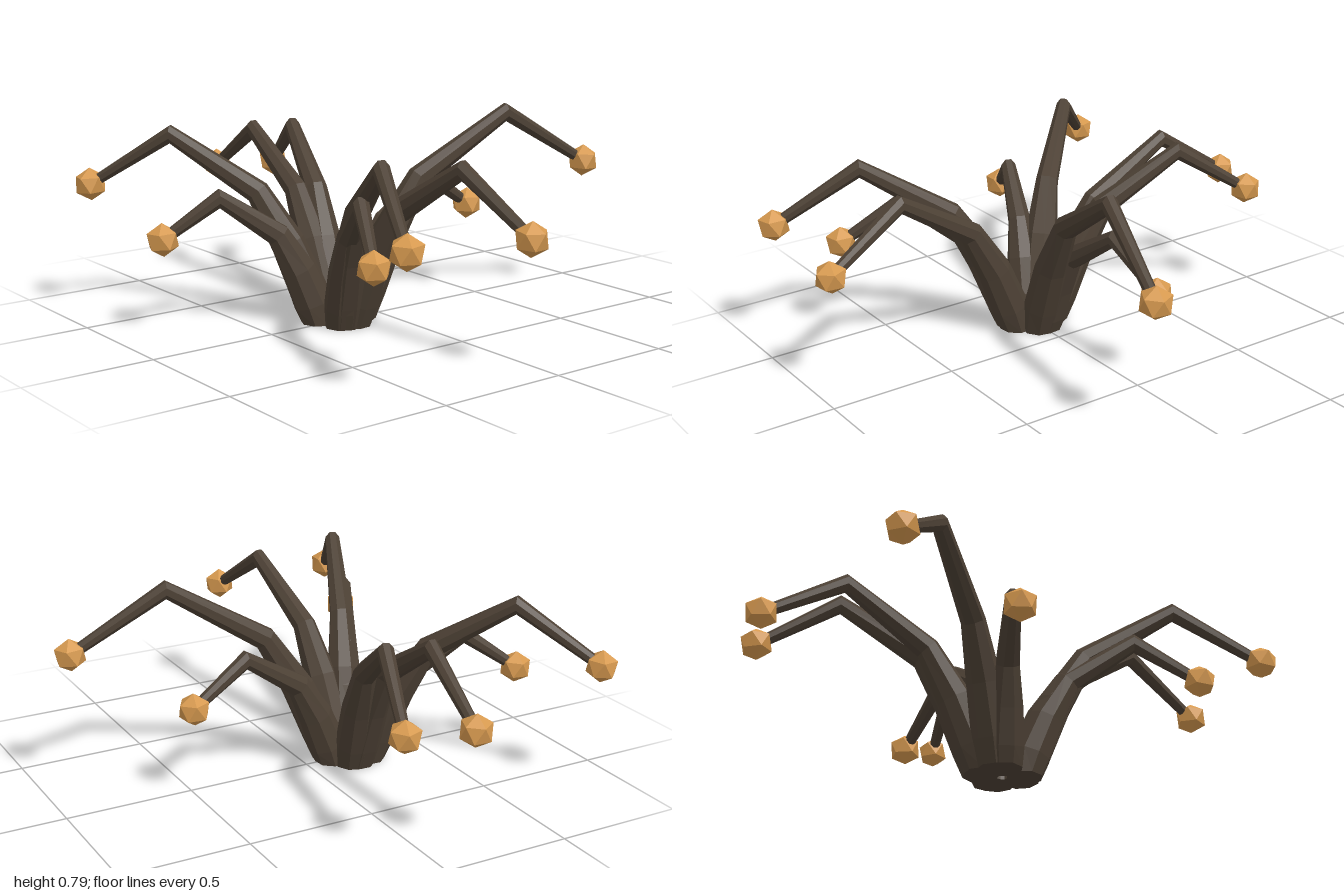
import * as THREE from 'three';

const SIDES = 8;
// Arm profile at full size: distance from the centre, height, radius
const PROFILE = [
  [0.08, 0, 0.068], [0.12, 0.12, 0.074], [0.21, 0.32, 0.066],
  [0.34, 0.53, 0.046], [0.72, 0.76, 0.031], [1.085, 0.54, 0.021],
];
// Bud position of each arm
const TIPS = [
  [0.23, 0.54, -0.87], [-0.07, 0.36, -0.51], [-0.87, 0.47, -0.1],
  [-0.94, 0.47, 0.14], [-0.72, 0.5, 0.85], [-0.26, 0.355, 0.8],
  [0.66, 0.39, 0.53], [0.91, 0.5, 0.59], [0.94, 0.475, 0.08],
];
const CENTRE_Z = 0.19;

// Tapered, bent tube through mitred rings, growing along local +x
function armGeometry(reach, height) {
  const foot = PROFILE[0][0];
  const stretch = (reach - foot) / (1.085 - foot);
  const points = PROFILE.map(([d, y]) =>
    new THREE.Vector2(foot + (d - foot) * stretch, y * height / 0.54));
  const positions = [];
  const index = [];
  points.forEach((p, i) => {
    const before = p.clone().sub(points[Math.max(i - 1, 0)]).normalize();
    const after = points[Math.min(i + 1, points.length - 1)].clone().sub(p).normalize();
    const t = before.clone().add(after).normalize();
    if (i === 0) t.set(0, 1);
    const miter = i === 0 ? 1 : 1 / Math.max(0.8, t.dot(before));
    const r = PROFILE[i][2];
    for (let j = 0; j < SIDES; j++) {
      const a = (j + 0.5) / SIDES * Math.PI * 2;
      const n = Math.cos(a) * r * miter;
      positions.push(p.x - t.y * n, p.y + t.x * n, Math.sin(a) * r);
    }
  });
  for (let i = 0; i < points.length - 1; i++) {
    for (let j = 0; j < SIDES; j++) {
      const a = i * SIDES + j;
      const b = i * SIDES + (j + 1) % SIDES;
      index.push(a, b, a + SIDES, b, b + SIDES, a + SIDES);
    }
  }
  // Flat foot
  for (let j = 1; j < SIDES - 1; j++) index.push(0, j + 1, j);
  const geometry = new THREE.BufferGeometry();
  geometry.setAttribute('position', new THREE.Float32BufferAttribute(positions, 3));
  geometry.setIndex(index);
  geometry.computeVertexNormals();
  return geometry;
}

export function createModel() {
  const model = new THREE.Group();
  model.name = 'branchingPlant';
  const bark = new THREE.MeshStandardMaterial({ color: 0x4d4135, flatShading: true });
  bark.name = 'darkBrown';
  const amber = new THREE.MeshStandardMaterial({ color: 0xd6994f, flatShading: true });
  amber.name = 'amber';
  const budGeometry = new THREE.IcosahedronGeometry(0.064, 0);

  TIPS.forEach(([x, y, z], i) => {
    const dz = z - CENTRE_Z;
    const reach = Math.hypot(x, dz);
    const arm = new THREE.Group();
    arm.name = `arm${i + 1}`;
    arm.position.z = CENTRE_Z;
    arm.rotation.y = Math.atan2(-dz, x);

    const stem = new THREE.Mesh(armGeometry(reach, y), bark);
    stem.name = 'stem';
    const bud = new THREE.Mesh(budGeometry, amber);
    bud.name = 'bud';
    bud.position.set(reach, y, 0);
    bud.rotation.z = -0.6;
    arm.add(stem, bud);
    model.add(arm);
  });
  return model;
}
